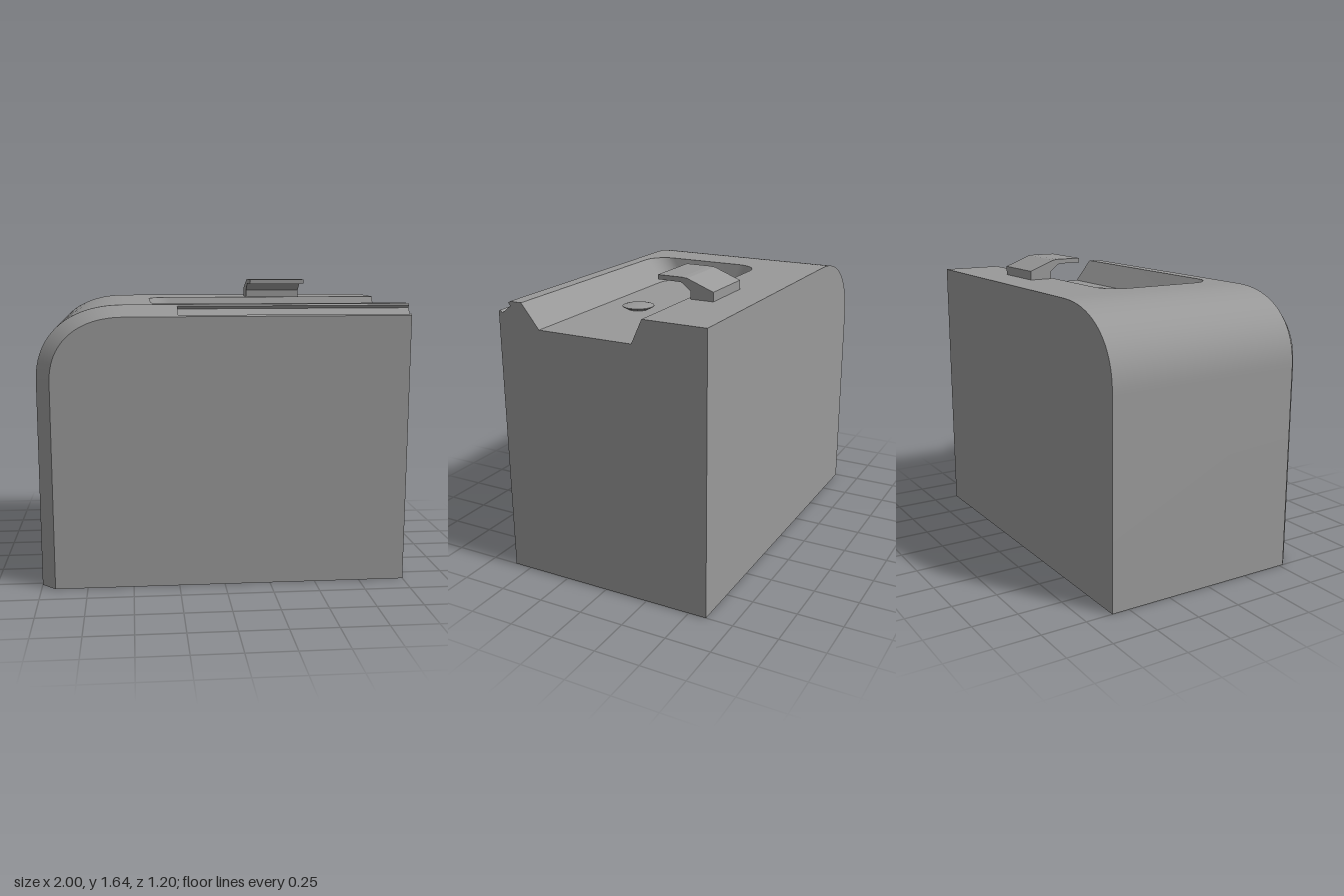
import * as THREE from 'three';
import { toCreasedNormals } from 'three/addons/utils/BufferGeometryUtils.js';

const V = (x, y, z) => new THREE.Vector3(x, y, z);
const material = new THREE.MeshStandardMaterial({ color: 0x999999 });

function mesh(name, geometry) {
  const m = new THREE.Mesh(geometry, material);
  m.name = name;
  return m;
}

// Ruled surface between two matching edges; it faces (b - a) x direction of travel
function strip(name, a, b) {
  const index = [];
  for (let i = 0; i < a.length - 1; i++) {
    const p = 2 * i;
    index.push(p, p + 1, p + 3, p, p + 3, p + 2);
  }
  const g = new THREE.BufferGeometry().setFromPoints(a.flatMap((p, i) => [p, b[i]]));
  g.setIndex(index);
  return mesh(name, toCreasedNormals(g, 0.5));
}

// Flat polygon spanned by the axes u and v, facing u x v
function face(name, points, u, v) {
  const n = u.clone().cross(v);
  const shape = new THREE.Shape(points.map(p => new THREE.Vector2(p.dot(u), p.dot(v))));
  const g = new THREE.ShapeGeometry(shape);
  g.translate(0, 0, points[0].dot(n));
  g.applyMatrix4(new THREE.Matrix4().makeBasis(u, v, n));
  return mesh(name, g);
}

const X = V(1, 0, 0), Y = V(0, 1, 0), Z = V(0, 0, 1);
const NX = V(-1, 0, 0), NZ = V(0, 0, -1);
const TOP = 1.53, LIP = 1.47, BACK = -0.6, RIM = 0.525, FRONT = 0.6;
const BEND = -0.52, SLOT = -0.25;

// Left wall and full, slightly squared shoulder, running up to the flat top
function shoulder(left, top, z) {
  const pts = [V(left, 0, z)];
  for (let i = 0; i <= 24; i++) {
    const t = (i / 24) * Math.PI / 2;
    pts.push(V(BEND - (BEND - left) * Math.cos(t) ** 0.87, 1.12 + (top - 1.12) * Math.sin(t) ** 0.87, z));
  }
  return pts;
}

// U-shaped outline of the tray, open on the +x side
function trayEdge(left, back, front, r, y) {
  const pts = [V(1, y, front)];
  for (const [cz, start] of [[front - r, Math.PI / 2], [back + r, Math.PI]]) {
    for (let i = 0; i <= 10; i++) {
      const t = start + (i / 10) * Math.PI / 2;
      pts.push(V(left + r + r * Math.cos(t), y, cz + r * Math.sin(t)));
    }
  }
  pts.push(V(1, y, back));
  return pts;
}

export function createModel() {
  const model = new THREE.Group();
  const body = new THREE.Group();
  body.name = 'body';
  model.add(body);

  // Outer skin
  const backEdge = shoulder(-1, TOP, BACK);
  const rimEdge = shoulder(-1, TOP, RIM);
  const frontEdge = shoulder(-0.925, LIP, FRONT);
  body.add(strip('shoulder', backEdge, rimEdge));
  body.add(strip('bevel', [...rimEdge, V(SLOT, TOP, RIM)], [...frontEdge, V(SLOT, LIP, FRONT)]));
  body.add(face('frontPanel', [...frontEdge, V(1, LIP, FRONT), V(1, 0, FRONT)], X, Y));
  body.add(face('backPanel', [...backEdge, V(1, TOP, BACK), V(1, 0, BACK)], NX, Y));
  body.add(face('base', [V(-1, 0, BACK), V(1, 0, BACK), V(1, 0, FRONT), V(-0.925, 0, FRONT), V(-1, 0, RIM)], X, Z));

  // Recessed tray
  const trayTop = trayEdge(-0.385, -0.25, 0.455, 0.13, TOP);
  const trayFloor = trayEdge(-0.36, -0.19, 0.352, 0.11, 1.4);
  body.add(strip('trayWall', trayTop, trayFloor));
  body.add(face('trayFloor', trayFloor, X, NZ));
  body.add(face('topPanel', [V(1, TOP, RIM), V(BEND, TOP, RIM), V(BEND, TOP, BACK), V(1, TOP, BACK),
    ...[...trayTop].reverse()], X, NZ));

  // Bevel with a long groove, as a profile from the front lip up to the rim
  const along = t => V(0, LIP + (TOP - LIP) * t, FRONT + (RIM - FRONT) * t);
  const inward = V(0, -0.015, -0.012);
  const low = along(0.13), high = along(0.85);
  const profile = [along(0), low, low.clone().add(inward), high.clone().add(inward), high, along(1)];
  const at = x => profile.map(p => V(x, p.y, p.z));
  body.add(strip('groovedBevel', at(SLOT), at(1)));
  body.add(face('grooveEnd', at(SLOT).slice(1, 5), NZ, Y));

  // Cut end, showing the tray and groove in section
  body.add(face('endPanel', [V(1, 0, BACK), V(1, 0, FRONT), ...at(1), V(1, TOP, 0.455), V(1, 1.4, 0.352),
    V(1, 1.4, -0.19), V(1, TOP, -0.25), V(1, TOP, BACK)], NZ, Y));

  // Round button on the tray floor, with a softly sloped top
  const buttonProfile = [[0, 0], [0.06, 0], [0.087, 0.014], [0.087, 0.018], [0.062, 0.025], [0, 0.026]];
  const button = mesh('button', toCreasedNormals(
    new THREE.LatheGeometry(buttonProfile.map(p => new THREE.Vector2(...p)), 40), 0.4));
  button.position.set(0.38, 1.4, 0.135);
  model.add(button);

  // Overhanging clip behind the tray, extruded along x
  const clipProfile = [[-0.4, 1.525], [-0.4, 1.58], [-0.25, 1.637], [-0.22, 1.64], [-0.08, 1.64],
    [-0.08, 1.615], [-0.21, 1.614], [-0.225, 1.608], [-0.27, 1.57], [-0.27, 1.525]];
  const clipGeometry = new THREE.ExtrudeGeometry(
    new THREE.Shape(clipProfile.map(([z, y]) => new THREE.Vector2(-z, y))), { depth: 0.322, bevelEnabled: false });
  clipGeometry.rotateY(Math.PI / 2);
  const clip = mesh('clip', clipGeometry);
  clip.position.x = 0.214;
  model.add(clip);

  return model;
}
